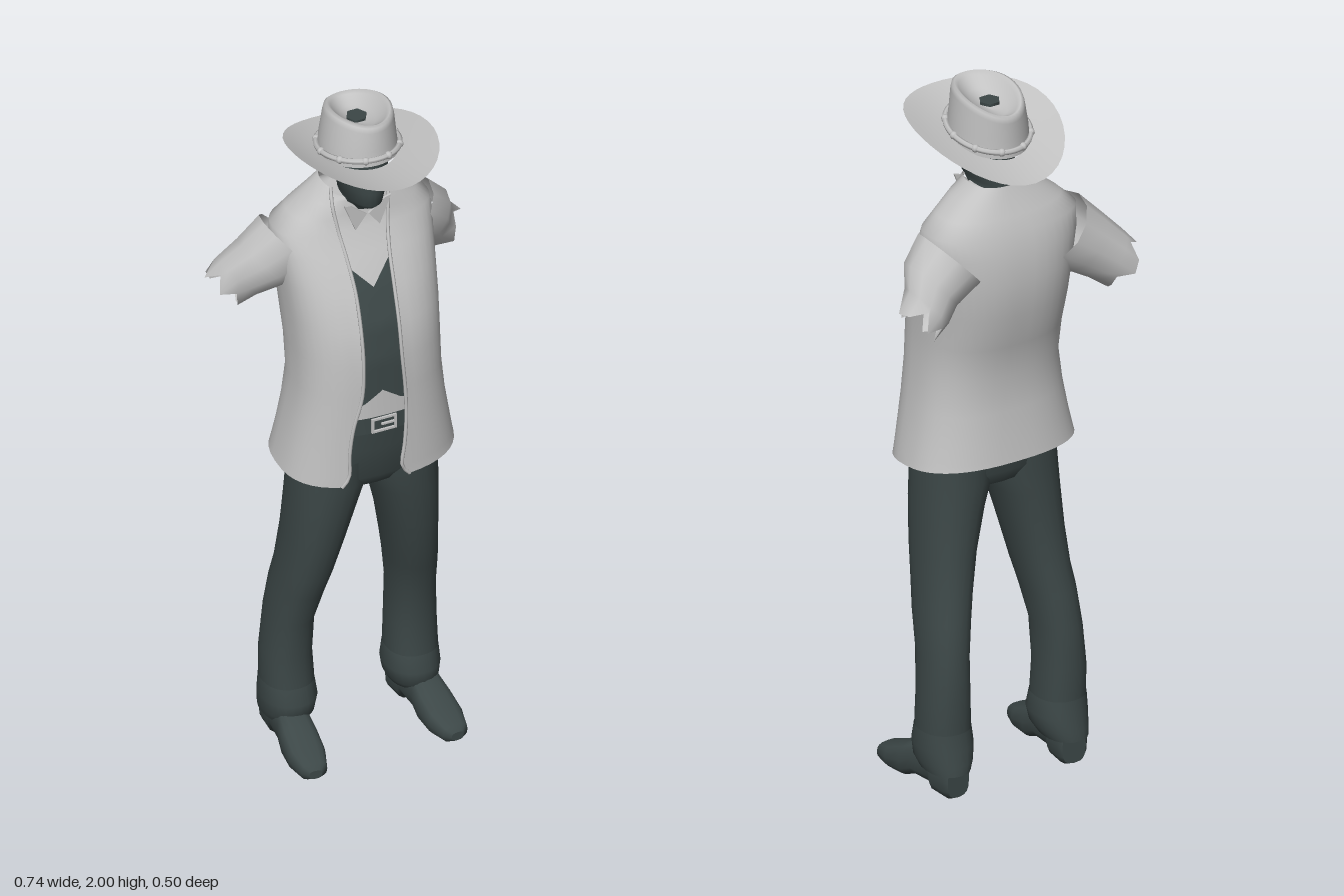
import * as THREE from 'three';

const mat = (name, color) => {
  const m = new THREE.MeshStandardMaterial({ color, side: THREE.DoubleSide });
  m.name = name;
  return m;
};

// Rounded-section helper: signed power keeps a box-like ellipse
const sp = (v, p) => Math.sign(v) * Math.abs(v) ** p;

// Horizontal ring from x, z extents; t0..t1 leaves a gap when not a full turn
function ring(y, cx, w, zf, zb, { p = 0.9, n = 24, t0 = 0, t1 = Math.PI * 2, open = false } = {}) {
  const mid = (zf + zb) / 2, d = (zf - zb) / 2, pts = [];
  for (let i = 0; i < (open ? n + 1 : n); i++) {
    const t = t0 + (t1 - t0) * i / n;
    pts.push(new THREE.Vector3(cx + w * sp(Math.sin(t), p), y, mid + d * sp(Math.cos(t), p)));
  }
  return pts;
}

// Skin between rings of equal length, with optional end caps
function loft(rings, { closed = true, start = false, end = false } = {}) {
  const n = rings[0].length, pos = [], idx = [];
  rings.forEach(r => r.forEach(v => pos.push(v.x, v.y, v.z)));
  for (let i = 0; i < rings.length - 1; i++) {
    for (let j = 0; j < (closed ? n : n - 1); j++) {
      const k = (j + 1) % n, a = i * n + j, b = i * n + k;
      idx.push(a, b, a + n, b, b + n, a + n);
    }
  }
  const cap = (row, flip) => {
    const c = new THREE.Vector3(), base = pos.length / 3;
    rings[row].forEach(v => { c.add(v); pos.push(v.x, v.y, v.z); });
    c.divideScalar(n);
    pos.push(c.x, c.y, c.z);
    for (let j = 0; j < n; j++) {
      const a = base + j, b = base + (j + 1) % n;
      idx.push(...(flip ? [b, a, base + n] : [a, b, base + n]));
    }
  };
  if (start) cap(0, true);
  if (end) cap(rings.length - 1, false);
  const g = new THREE.BufferGeometry();
  g.setAttribute('position', new THREE.Float32BufferAttribute(pos, 3));
  g.setIndex(idx);
  g.computeVertexNormals();
  return g;
}

// Coat rows: y, half width, front z, back z, right opening x, left opening x
const COAT = [
  [0.92, 0.247, 0.18, -0.165, -0.13, 0.06], [0.95, 0.242, 0.18, -0.163, -0.112, 0.038],
  [1.02, 0.23, 0.18, -0.157, -0.11, 0.045], [1.1, 0.216, 0.18, -0.148, -0.1, 0.05],
  [1.2, 0.204, 0.18, -0.142, -0.076, 0.047], [1.3, 0.203, 0.18, -0.165, -0.072, 0.038],
  [1.4, 0.207, 0.165, -0.192, -0.072, 0.036], [1.5, 0.214, 0.125, -0.2, -0.07, 0.04],
  [1.58, 0.222, 0.08, -0.193, -0.074, 0.048], [1.64, 0.222, 0.045, -0.178, -0.08, 0.06],
  [1.68, 0.18, 0.035, -0.16, -0.085, 0.066], [1.72, 0.13, 0.03, -0.142, -0.088, 0.072],
  [1.755, 0.085, 0.02, -0.128, -0.078, 0.07],
];
const CP = 0.8;

// Front surface depth of the coat shape at x, y
function frontZ(x, y) {
  const i = Math.max(1, COAT.findIndex(r => r[0] >= y));
  const a = COAT[i - 1], b = COAT[i], f = (y - a[0]) / (b[0] - a[0]);
  const [w, zf, zb] = [1, 2, 3].map(k => a[k] + (b[k] - a[k]) * f);
  const s = Math.min(1, Math.abs(x) / w) ** (1 / CP);
  return (zf + zb) / 2 + (zf - zb) / 2 * Math.sqrt(1 - s * s) ** CP;
}

export function createModel() {
  const model = new THREE.Group();
  const body = new THREE.Group();
  body.name = 'figure';
  body.position.x = 0.02;
  model.add(body);
  const light = mat('lightGrey', 0xc2c2c2), dark = mat('darkSlate', 0x3c4747);
  const add = (name, geo, m) => {
    const mesh = new THREE.Mesh(geo, m);
    mesh.name = name;
    body.add(mesh);
    return mesh;
  };

  // Coat: open-fronted shell with rising back hem
  const angle = (x, w) => Math.asin(Math.min(1, Math.abs(x) / w) ** (1 / CP)) * Math.sign(x);
  const coatRings = COAT.map(([y, w, zf, zb, l, r], i) => {
    const pts = ring(y, 0, w, zf, zb, { p: CP, n: 40, t0: angle(r, w), t1: Math.PI * 2 + angle(l, w), open: true });
    if (i < 2) pts.forEach(v => { v.y += (i ? 0.02 : 0.035) * (zf - v.z) / (zf - zb); });
    return pts;
  });
  add('coat', loft(coatRings, { closed: false }), light);
  for (const side of [0, 40]) {
    const edge = new THREE.CatmullRomCurve3(coatRings.map(r => r[side]));
    add('coatEdge', new THREE.TubeGeometry(edge, 40, 0.005, 6), light);
  }

  // Torn short sleeves
  const jag = [0.015, -0.03, 0.01, 0.02, -0.02, 0.0, 0.02, -0.035, 0.015, -0.01, 0.02, -0.02];
  for (const s of [-1, 1]) {
    const reach = s < 0 ? 0.02 : -0.012;
    const rows = [[0.165, 1.565, -0.085, 0.108, 0.108], [0.235, 1.515, -0.1, 0.092, 0.09],
      [0.275 + reach, 1.47, -0.125, 0.078, 0.072], [0.308 + reach, 1.44, -0.138, 0.07, 0.06]];
    const rings = rows.map(([x, y, z, h, d], i) => jag.map((_, j) => {
      const t = j / 12 * Math.PI * 2, u = h * Math.cos(t);
      const off = i === 3 ? jag[(j + (s > 0 ? 3 : 0)) % 12] : 0;
      return new THREE.Vector3(s * (x + 0.68 * u + 0.73 * off), y + 0.73 * u - 0.68 * off, z + s * d * Math.sin(t));
    }));
    add(s < 0 ? 'rightSleeve' : 'leftSleeve', loft(rings), light);
  }

  // Shirt inside the coat
  const inset = 0.016;
  const shirtRings = COAT.slice(3, -1).map(([y, w, zf, zb]) =>
    ring(y, 0, w - inset, zf - inset, zb + inset, { p: CP, n: 40 }));
  shirtRings.push(ring(1.725, 0, 0.066, 0.012, -0.105, { n: 40 }));
  add('shirt', loft(shirtRings, { end: true }), light);

  // Waistcoat panel with V neck and notched lower edge
  const vest = [];
  for (let i = 0; i <= 16; i++) {
    const row = [];
    for (let j = 0; j <= 12; j++) {
      const x = -0.115 + 0.2 * j / 12, k = Math.abs(x + 0.015);
      const lo = 1.205 - 0.7 * Math.min(k, 0.06), hi = 1.5 + 1.0 * Math.min(k, 0.09);
      const y = lo + (hi - lo) * i / 16;
      row.push(new THREE.Vector3(x, y, frontZ(x, y) - 0.009));
    }
    vest.push(row);
  }
  add('waistcoat', loft(vest, { closed: false }), dark);

  // Shirt collar points
  for (const s of [-1, 1]) {
    const tri = new THREE.Shape([[0.003, 1.688], [0.035, 1.645], [0.068, 1.73], [0.05, 1.725]]
      .map(([x, y]) => new THREE.Vector2(s * x, y)));
    const flap = add('collarPoint', new THREE.ExtrudeGeometry(tri, { depth: 0.006, bevelEnabled: false }), light);
    flap.position.z = 0.042;
  }

  // Trousers: hips, then mirrored legs and turned cuffs
  add('hips', loft([ring(0.86, 0, 0.13, 0.1, -0.085), ring(0.9, 0, 0.19, 0.127, -0.108),
    ring(1.0, 0, 0.195, 0.145, -0.12), ring(1.1, 0, 0.185, 0.155, -0.12)], { start: true, end: true }), dark);
  const LEG = [[0.1, 0.115, 0.245, 0.01, -0.155], [0.2, 0.11, 0.25, 0.005, -0.152],
    [0.28, 0.115, 0.247, 0.003, -0.157], [0.4, 0.115, 0.238, 0.018, -0.152], [0.5, 0.098, 0.231, 0.05, -0.138],
    [0.57, 0.083, 0.222, 0.072, -0.125], [0.68, 0.06, 0.214, 0.1, -0.114], [0.8, 0.028, 0.208, 0.12, -0.11],
    [0.88, 0.002, 0.203, 0.128, -0.11], [0.96, -0.005, 0.198, 0.135, -0.112]];
  const CUFF = [[0.075, 0.125, 0.243, -0.01, -0.17], [0.1, 0.112, 0.25, 0.016, -0.168],
    [0.14, 0.103, 0.254, 0.018, -0.16], [0.19, 0.109, 0.251, 0.006, -0.153]];
  // Shoe rows from toe to heel: z, half width, top, bottom
  const SHOE = [[0.165, 0.018, 0.035, 0.01], [0.152, 0.037, 0.05, 0.003], [0.1, 0.052, 0.07, 0],
    [0.04, 0.052, 0.1, 0], [0, 0.047, 0.12, 0.018], [-0.072, 0.044, 0.13, 0.02], [-0.082, 0.045, 0.13, 0],
    [-0.14, 0.045, 0.12, 0], [-0.152, 0.035, 0.1, 0.005]];
  for (const s of [-1, 1]) {
    const rows = list => list.map(([y, a, b, zf, zb]) => ring(y, s * (a + b) / 2, (b - a) / 2, zf, zb));
    add(s < 0 ? 'rightLeg' : 'leftLeg', loft(rows(LEG)), dark);
    add('trouserCuff', loft(rows(CUFF), { start: true }), dark);
    const shoe = SHOE.map(([z, w, top, bot]) => Array.from({ length: 16 }, (_, j) => {
      const t = j / 8 * Math.PI;
      return new THREE.Vector3(w * sp(Math.sin(t), 0.7), (top + bot) / 2 + (top - bot) / 2 * sp(Math.cos(t), 0.7), z);
    }));
    const mesh = add(s < 0 ? 'rightShoe' : 'leftShoe', loft(shoe, { start: true, end: true }), dark);
    mesh.position.x = s * 0.193;
    mesh.rotation.y = s * 0.08;
  }

  // Belt and buckle frame
  add('belt', loft([1.072, 1.122].map(y => ring(y, 0, 0.197, 0.17, -0.128, { p: CP, n: 40 }))), dark);
  const frame = new THREE.Shape([[-0.036, -0.022], [0.036, -0.022], [0.036, 0.022], [-0.036, 0.022]].map(p => new THREE.Vector2(...p)));
  frame.holes.push(new THREE.Path([[-0.03, -0.016], [-0.03, 0.016], [0.03, 0.016], [0.03, -0.016]].map(p => new THREE.Vector2(...p))));
  add('buckle', new THREE.ExtrudeGeometry(frame, { depth: 0.006, bevelEnabled: false }), light).position.set(-0.012, 1.098, 0.17);
  add('bucklePin', new THREE.BoxGeometry(0.04, 0.005, 0.006), light).position.set(0, 1.098, 0.173);

  // Head, nose and eyes
  add('head', loft([[1.64, 0.056, 0.01, -0.1], [1.715, 0.056, 0.025, -0.1], [1.722, 0.045, 0.075, -0.1],
    [1.74, 0.05, 0.094, -0.1], [1.78, 0.062, 0.097, -0.1], [1.81, 0.068, 0.096, -0.102],
    [1.85, 0.071, 0.094, -0.106], [1.91, 0.07, 0.088, -0.11]].map(r => ring(r[0], 0, ...r.slice(1), { p: 1 })), { end: true }), dark);
  const nose = add('nose', new THREE.ConeGeometry(0.015, 0.05, 8), dark);
  nose.position.set(0, 1.835, 0.094);
  nose.scale.z = 1.1;
  for (const s of [-1, 1]) {
    const eye = add('eye', new THREE.CircleGeometry(0.011, 8), light);
    eye.position.set(s * 0.033, 1.849, 0.09);
    eye.rotation.y = s * 0.45;
    eye.scale.y = 0.6;
  }

  // Hat brim: tilted back, sides curled up
  const hatRing = (cx, cz, rx, rz, fy) => ring(0, cx, rx, cz + rz, cz - rz, { p: 1, n: 40 }).map(v => v.setY(fy(v.x, v.z)));
  const brim = [0, 0.25, 0.5, 0.75, 1].map(f => hatRing(0.003 * f, -0.012 + 0.012 * f, 0.1 + 0.095 * f, 0.118 + 0.132 * f,
    (x, z) => 1.853 + 0.16 * z + 1.25 * x * x - 0.04 * x * f));
  add('hatBrim', loft(brim.reverse()), light);

  // Hat crown with a hollowed top
  const rim = d => (x, z) => 1.998 - d + 0.1 * z - 1.2 * z * z;
  add('hatCrown', loft([hatRing(0, -0.014, 0.104, 0.122, (x, z) => 1.862 + 0.17 * z),
    hatRing(0, -0.016, 0.099, 0.12, (x, z) => 1.91 + 0.14 * z), hatRing(0.004, -0.02, 0.088, 0.12, rim(0.018)),
    hatRing(0.005, -0.021, 0.084, 0.118, rim(0.004)), hatRing(0.006, -0.022, 0.076, 0.111, rim(0)),
    hatRing(0.006, -0.022, 0.066, 0.1, rim(0.01)), hatRing(0.004, -0.022, 0.042, 0.068, rim(0.036)),
    hatRing(0.002, -0.022, 0.02, 0.03, rim(0.044))], { end: true }), light);
  const crownHole = add('crownHole', new THREE.CylinderGeometry(0.029, 0.029, 0.008, 6), dark);
  crownHole.position.set(0, 1.957, -0.022);
  crownHole.rotation.set(0, Math.PI / 6, 0);

  // Hat band with studs
  const bandPts = hatRing(0, -0.014, 0.107, 0.125, (x, z) => 1.884 + 0.17 * z);
  add('hatBand', new THREE.TubeGeometry(new THREE.CatmullRomCurve3(bandPts, true), 60, 0.008, 6, true), light);
  for (let i = 2; i < 40; i += 4) {
    const stud = add('bandStud', new THREE.SphereGeometry(0.011, 8, 6), light);
    stud.position.copy(bandPts[i]);
  }
  return model;
}
